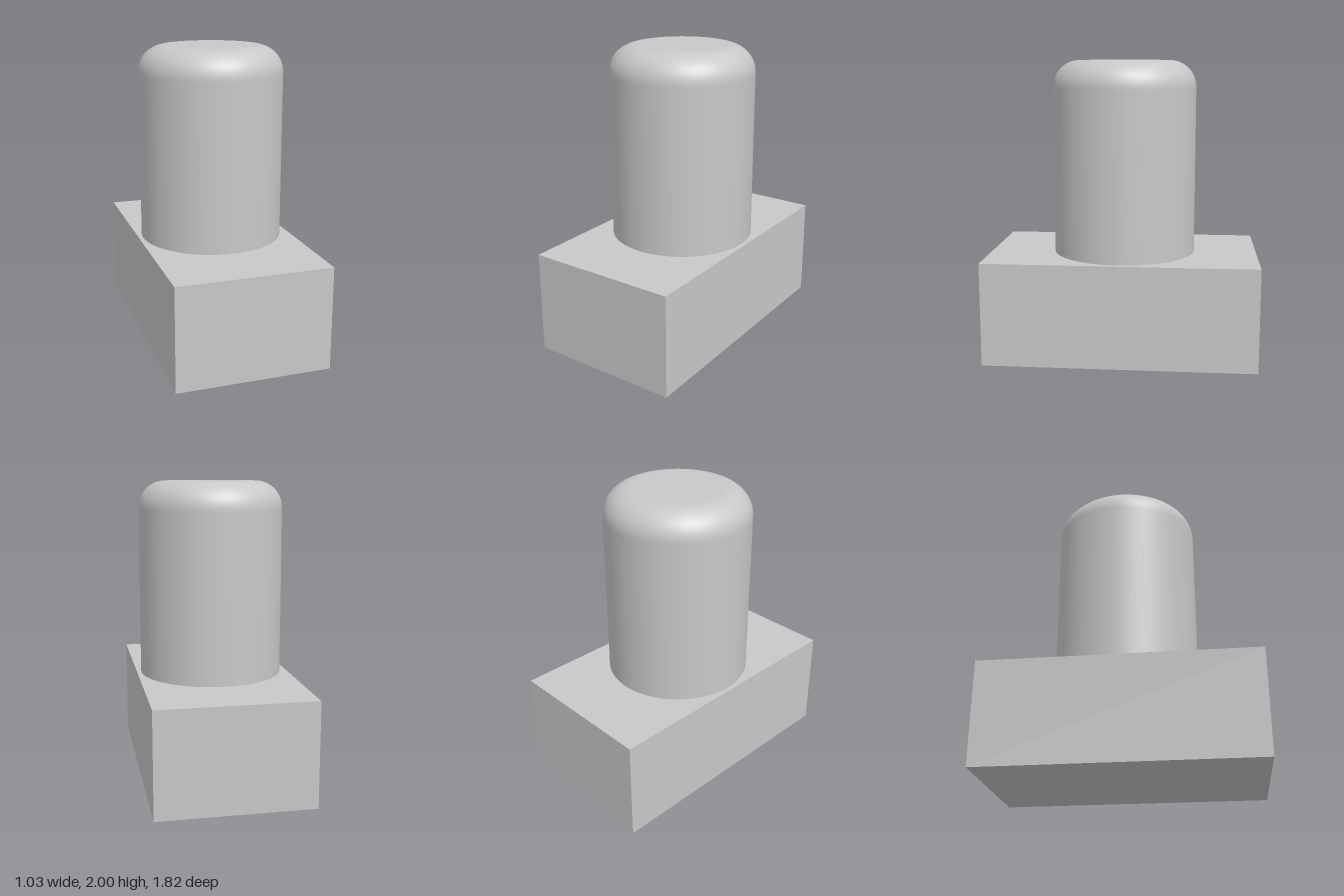
import * as THREE from 'three';

export function createModel() {
  const group = new THREE.Group();
  const grey = new THREE.MeshStandardMaterial({ color: 0xc8c8c8 });
  grey.name = 'light grey';

  const baseHeight = 0.695, radius = 0.485, fillet = 0.18, top = 2;

  // Rectangular base block
  const base = new THREE.Mesh(new THREE.BoxGeometry(1.03, baseHeight, 1.82), grey);
  base.name = 'base';
  base.position.y = baseHeight / 2;
  group.add(base);

  // Upright post with a rounded top rim; extra points keep the wall and cap shading even
  const profile = [
    new THREE.Vector2(radius, baseHeight),
    new THREE.Vector2(radius, top - fillet - 0.01),
  ];
  const steps = 16;
  for (let i = 0; i <= steps; i++) {
    const a = (i / steps) * Math.PI / 2;
    profile.push(new THREE.Vector2(
      radius - fillet + fillet * Math.cos(a),
      top - fillet + fillet * Math.sin(a),
    ));
  }
  profile.push(new THREE.Vector2(radius - fillet - 0.01, top), new THREE.Vector2(0, top));
  const post = new THREE.Mesh(new THREE.LatheGeometry(profile, 96), grey);
  post.name = 'post';
  group.add(post);

  return group;
}
